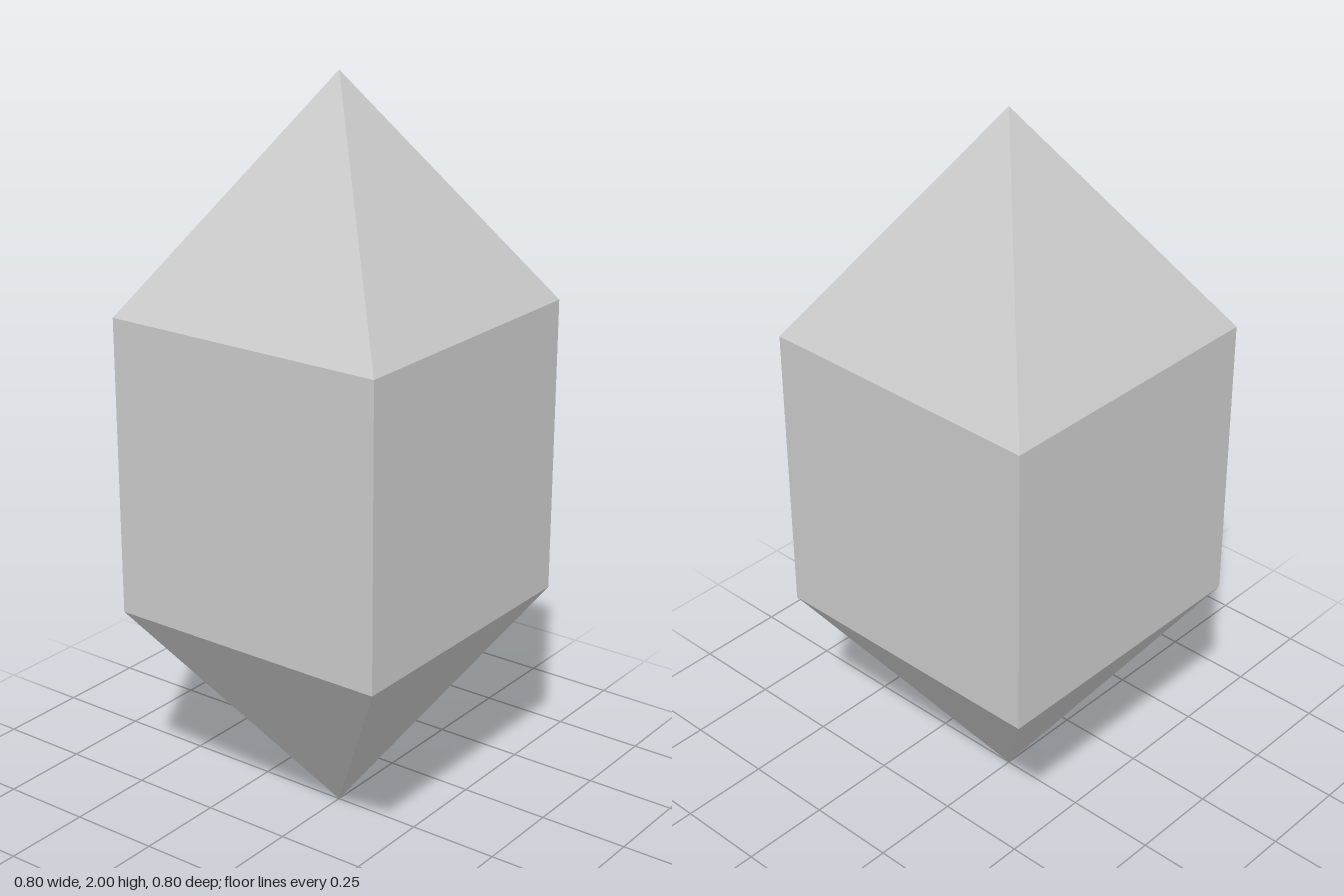
import * as THREE from 'three';

const HALF_WIDTH = 0.4;
const RADIUS = HALF_WIDTH * Math.SQRT2; // corner radius of the square section

export function createModel() {
  const group = new THREE.Group();
  group.name = 'crystal';
  const material = new THREE.MeshStandardMaterial({ color: 0xcccccc, flatShading: true });

  // Open four-sided section with its flat sides facing the axes
  function addSection(name, topRadius, bottomRadius, y0, y1) {
    const geometry = new THREE.CylinderGeometry(topRadius, bottomRadius, y1 - y0, 4, 1, true)
      .rotateY(Math.PI / 4)
      .translate(0, (y0 + y1) / 2, 0)
      .toNonIndexed();
    geometry.computeVertexNormals();
    const mesh = new THREE.Mesh(geometry, material);
    mesh.name = name;
    group.add(mesh);
  }

  addSection('lowerPoint', RADIUS, 0, 0, 0.6);
  addSection('shaft', RADIUS, RADIUS, 0.6, 1.4);
  addSection('upperPoint', 0, RADIUS, 1.4, 2);

  return group;
}
